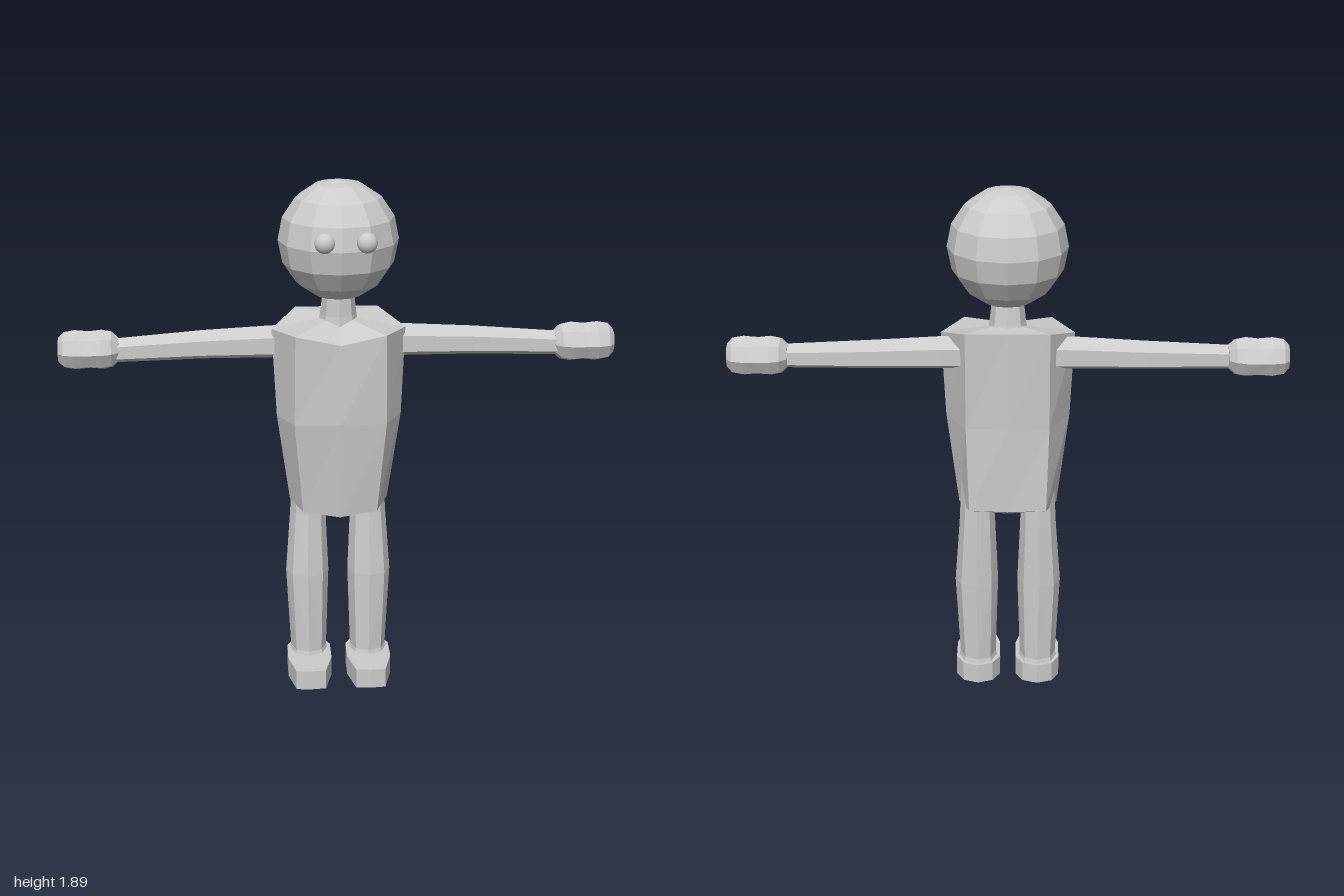
import * as THREE from 'three';

const grey = new THREE.MeshStandardMaterial({ color: 0xcccccc, flatShading: true });
const smooth = new THREE.MeshStandardMaterial({ color: 0xcccccc });

// Skin closed rings of [x, y, z] points into a faceted solid with fan caps
function loft(rings, endStart, endStop) {
  const centre = r => [0, 1, 2].map(k => r.reduce((s, p) => s + p[k], 0) / r.length);
  const first = rings[0], last = rings[rings.length - 1], n = first.length;
  const c0 = endStart || centre(first), c1 = endStop || centre(last);
  const v = [];
  const tri = (...pts) => pts.forEach(p => v.push(...p));
  for (let i = 0; i < n; i++) {
    const j = (i + 1) % n;
    for (let k = 0; k < rings.length - 1; k++) {
      const a = rings[k], b = rings[k + 1];
      tri(a[i], a[j], b[j]);
      tri(a[i], b[j], b[i]);
    }
    tri(c0, first[j], first[i]);
    tri(c1, last[i], last[j]);
  }
  const g = new THREE.BufferGeometry();
  g.setAttribute('position', new THREE.Float32BufferAttribute(v, 3));
  g.computeVertexNormals();
  return g;
}

// Reflect a triangle soup across x = 0 and restore its winding
function mirrored(geo) {
  const p = geo.clone().scale(-1, 1, 1).attributes.position, v = [];
  for (let i = 0; i < p.count; i += 3)
    for (const k of [i, i + 2, i + 1]) v.push(p.getX(k), p.getY(k), p.getZ(k));
  const g = new THREE.BufferGeometry();
  g.setAttribute('position', new THREE.Float32BufferAttribute(v, 3));
  g.computeVertexNormals();
  return g;
}

const angles = n => Array.from({ length: n }, (_, i) => (i / n) * Math.PI * 2);
// Level ring around a vertical limb
const ringY = (n, x, y, z, rx, rz) =>
  angles(n).map(t => [x + rx * Math.sin(t), y, z + rz * Math.cos(t)]);
// Upright ring around a sideways limb
const ringX = (n, x, y, z, ry, rz) =>
  angles(n).map(t => [x, y + ry * Math.cos(t), z + rz * Math.sin(t)]);
// Complete a half section given from front centre to back centre
const symmetric = half =>
  half.concat(half.slice(1, -1).reverse().map(([x, y, z]) => [-x, y, z]));

export function createModel() {
  const model = new THREE.Group();
  const add = (name, geo, mat = grey) => {
    const m = new THREE.Mesh(geo, mat);
    m.name = name;
    model.add(m);
    return m;
  };
  const pair = (name, geo) => {
    add('left' + name, geo);
    add('right' + name, mirrored(geo));
  };

  // Head and eyes
  add('head', new THREE.SphereGeometry(0.214, 12, 8)).position.set(0, 1.68, -0.003);
  for (const [name, x] of [['leftEye', 0.087], ['rightEye', -0.058]]) {
    const eye = add(name, new THREE.SphereGeometry(0.036, 20, 14), smooth);
    eye.position.set(x, 1.71, 0.19);
    eye.scale.z = 0.85;
  }

  // Neck
  add('neck', loft([
    ringY(8, 0, 1.36, -0.015, 0.075, 0.075),
    ringY(8, 0, 1.41, -0.012, 0.065, 0.065),
    ringY(8, 0, 1.5, -0.005, 0.055, 0.055),
  ]));

  // Torso: front centre, front corner, flank, back corner, back centre
  add('torso', loft([
    [[0, 0.67, 0.115], [0.135, 0.69, 0.105], [0.18, 0.705, 0.0], [0.14, 0.72, -0.125], [0, 0.715, -0.125]],
    [[0, 1.04, 0.155], [0.165, 1.04, 0.145], [0.225, 1.04, 0.03], [0.15, 1.04, -0.12], [0, 1.04, -0.125]],
    [[0, 1.335, 0.155], [0.16, 1.37, 0.157], [0.24, 1.36, 0.01], [0.15, 1.4, -0.135], [0, 1.4, -0.135]],
  ].map(symmetric), [0, 0.638, 0.03], [0, 1.405, -0.015]));

  // Arms
  pair('Arm', loft([
    ringX(6, 0.14, 1.3, -0.035, 0.06, 0.072),
    ringX(6, 0.24, 1.3, -0.035, 0.06, 0.072),
    ringX(6, 0.49, 1.293, -0.037, 0.053, 0.064),
    ringX(6, 0.82, 1.28, -0.02, 0.044, 0.045),
  ]));

  // Hands: [x, height radius, depth radius]
  pair('Hand', loft([
    [0.785, 0.042, 0.048], [0.81, 0.066, 0.072], [0.845, 0.073, 0.083],
    [0.89, 0.068, 0.083], [0.94, 0.073, 0.083], [0.98, 0.066, 0.072], [1.0, 0.045, 0.048],
  ].map(([x, ry, rz]) => ringX(8, x, 1.284, -0.027, ry, rz))));

  // Legs, with a narrow cuff at the ankle
  pair('Leg', loft([
    ringY(8, 0.113, 0.06, -0.03, 0.076, 0.082),
    ringY(8, 0.113, 0.09, -0.03, 0.067, 0.074),
    ringY(8, 0.116, 0.4, -0.035, 0.08, 0.071),
    ringY(8, 0.112, 0.64, -0.046, 0.066, 0.056),
    ringY(8, 0.11, 0.8, -0.045, 0.06, 0.05),
  ]));

  // Feet: flat soles with tapered toe and rounded heel
  const halfSole = [[0, 0.175], [0.055, 0.17], [0.082, 0.06], [0.082, -0.05], [0.055, -0.1], [0, -0.12]];
  const sole = y => symmetric(halfSole.map(([x, z]) => [x, y, z])).map(([x, h, z]) => [x + 0.112, h, z]);
  pair('Foot', loft([sole(0), sole(0.075)]));

  return model;
}
